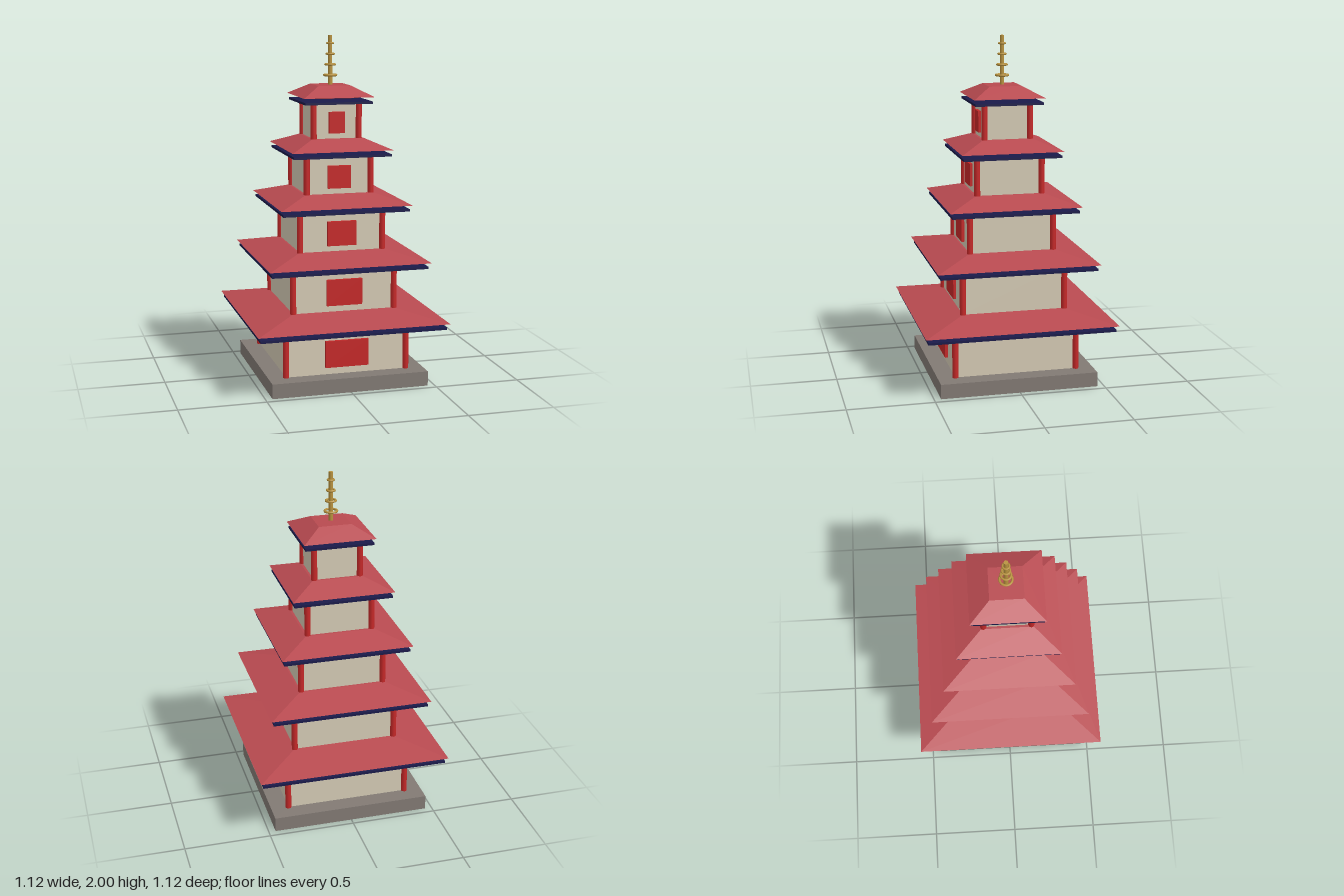
import * as THREE from 'three';

const mat = (name, color, flatShading = false) => {
  const m = new THREE.MeshStandardMaterial({ color, flatShading });
  m.name = name;
  return m;
};

export function createModel() {
  const stone = mat('stone', 0x827a74);
  const plaster = mat('plaster', 0xd5cbb5);
  const lacquer = mat('red lacquer', 0xc62828);
  const tile = mat('roof tile', 0xb84a50, true);
  const navy = mat('navy eave', 0x1a1a4a);
  const gold = mat('gold', 0xb8923e);

  const model = new THREE.Group();
  model.name = 'pagoda';

  const add = (parent, name, geometry, material, x, y, z) => {
    const mesh = new THREE.Mesh(geometry, material);
    mesh.name = name;
    mesh.position.set(x, y, z);
    parent.add(mesh);
    return mesh;
  };
  // Box given by half widths and bottom/top heights
  const slab = (parent, name, half, y0, y1, material) =>
    add(parent, name, new THREE.BoxGeometry(half * 2, y1 - y0, half * 2), material, 0, (y0 + y1) / 2, 0);
  // Square frustum with sides facing the axes
  const frustum = (parent, name, topHalf, bottomHalf, y0, y1, material) => {
    const g = new THREE.CylinderGeometry(topHalf * Math.SQRT2, bottomHalf * Math.SQRT2, y1 - y0, 4);
    g.rotateY(Math.PI / 4);
    return add(parent, name, g, material, 0, (y0 + y1) / 2, 0);
  };

  slab(model, 'base', 0.46, 0, 0.085, stone);

  // Storeys from the ground up; door is [half width, bottom, top]
  const storeys = [
    { wall: 0.357, y0: 0.085, y1: 0.352, eave: 0.543, roof: 0.558, roofTop: 0.300, r0: 0.385, r1: 0.438, door: [0.127, 0.127, 0.283] },
    { wall: 0.300, y0: 0.438, y1: 0.693, eave: 0.456, roof: 0.471, roofTop: 0.255, r0: 0.726, r1: 0.780, door: [0.105, 0.475, 0.627] },
    { wall: 0.245, y0: 0.780, y1: 1.015, eave: 0.370, roof: 0.383, roofTop: 0.203, r0: 1.048, r1: 1.104, door: [0.085, 0.813, 0.955] },
    { wall: 0.190, y0: 1.104, y1: 1.323, eave: 0.286, roof: 0.296, roofTop: 0.147, r0: 1.357, r1: 1.416, door: [0.068, 1.137, 1.268] },
    { wall: 0.134, y0: 1.416, y1: 1.618, eave: 0.199, roof: 0.208, roofTop: 0.095, r0: 1.654, r1: 1.715, door: [0.046, 1.447, 1.570] },
  ];

  storeys.forEach((s, i) => {
    const storey = new THREE.Group();
    storey.name = `storey${i + 1}`;
    model.add(storey);

    slab(storey, 'walls', s.wall, s.y0, s.y1, plaster);
    const h = s.y1 - s.y0;
    for (const x of [-1, 1]) for (const z of [-1, 1]) {
      add(storey, 'cornerColumn', new THREE.CylinderGeometry(0.018, 0.018, h, 8), lacquer,
        x * s.wall, s.y0 + h / 2, z * s.wall);
    }
    const [w, d0, d1] = s.door;
    add(storey, 'door', new THREE.BoxGeometry(w * 2, d1 - d0, 0.02), lacquer, 0, (d0 + d1) / 2, s.wall + 0.007);

    // Thin eave board below the floating roof
    slab(storey, 'eaveBoard', s.eave, s.y1 - 0.002, s.y1 + 0.011, navy);
    frustum(storey, 'roof', s.roofTop, s.roof, s.r0, s.r1, tile);
  });

  // Shallow underside of the top roof
  frustum(model, 'topRoofUnderside', 0.19, 0.10, 1.641, 1.655, tile);

  // Spire with rings shrinking upwards
  const spire = new THREE.Group();
  spire.name = 'spire';
  model.add(spire);
  add(spire, 'pole', new THREE.CylinderGeometry(0.012, 0.013, 0.29, 12), gold, 0, 1.855, 0);
  [0.035, 0.028, 0.022, 0.018].forEach((r, i) => {
    const ring = add(spire, 'ring', new THREE.TorusGeometry(r, 0.007 - i * 0.0005, 8, 24), gold, 0, 1.77 + i * 0.061, 0);
    ring.rotation.x = Math.PI / 2;
  });

  return model;
}
